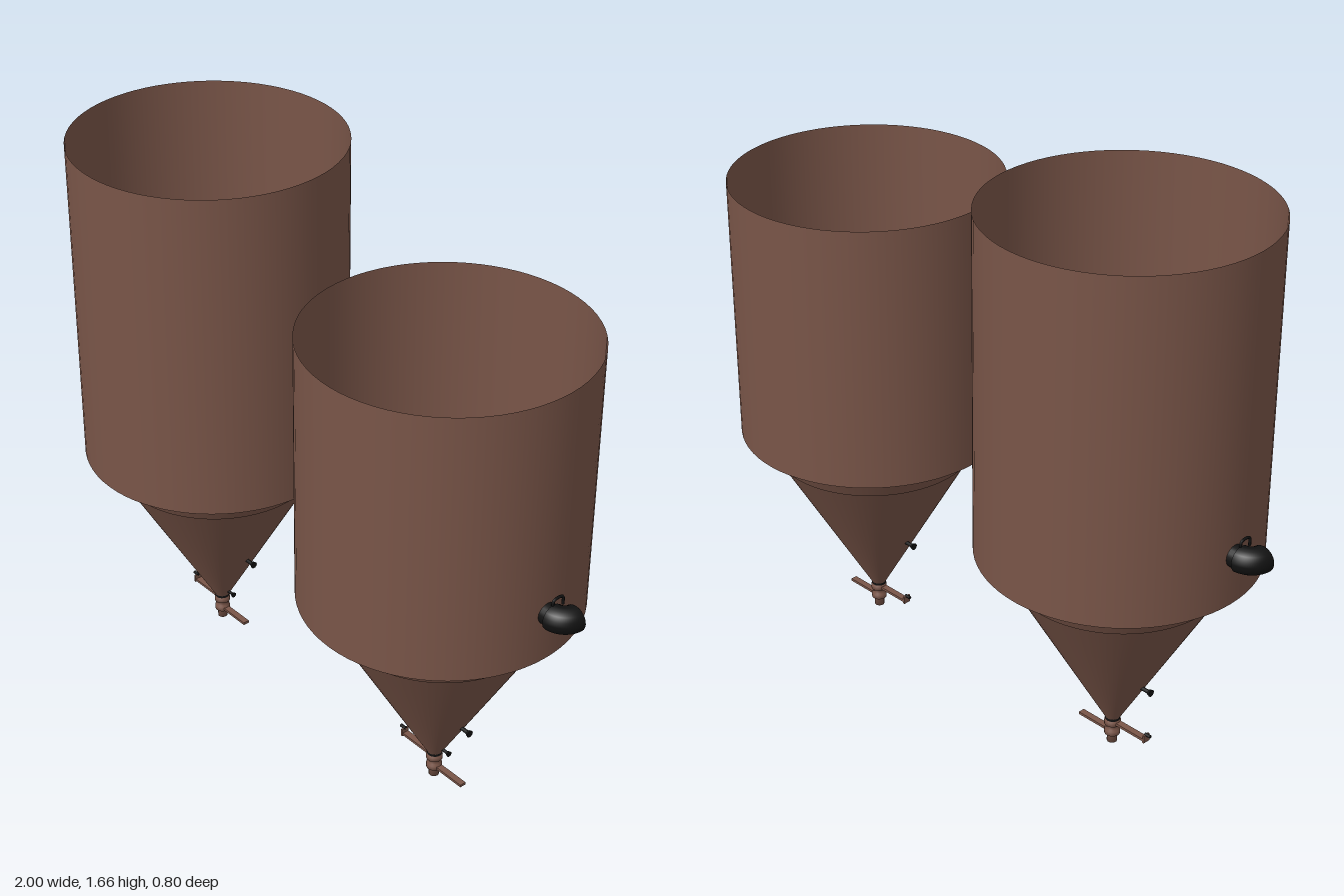
import * as THREE from 'three';

const brown = new THREE.MeshStandardMaterial({ color: 0x795548, side: THREE.DoubleSide });
const black = new THREE.MeshStandardMaterial({ color: 0x111111, side: THREE.DoubleSide });

function add(parent, name, geometry, material, x = 0, y = 0, z = 0) {
  const mesh = new THREE.Mesh(geometry, material);
  mesh.name = name;
  mesh.position.set(x, y, z);
  parent.add(mesh);
  return mesh;
}

// Cylinder lying along x
const rodX = (r1, r2, length, sides = 20) =>
  new THREE.CylinderGeometry(r1, r2, length, sides).rotateZ(-Math.PI / 2);

const lathe = (points, sides) =>
  new THREE.LatheGeometry(points.map(([r, y]) => new THREE.Vector2(r, y)), sides);

// Elbow vent leaving the wall along +x and turning towards -z
function makeVent() {
  const vent = new THREE.Group();
  vent.name = 'elbowVent';
  add(vent, 'ventNeck', rodX(0.032, 0.032, 0.04), black, 0.405, 0, 0);
  const elbow = new THREE.TorusGeometry(0.041, 0.038, 16, 20, Math.PI / 2).rotateX(Math.PI / 2);
  add(vent, 'ventElbow', elbow, black, 0.42, 0, -0.04);
  add(vent, 'ventMouth', new THREE.CircleGeometry(0.038, 24), black, 0.461, 0, -0.04);
  // Small latch hoop on top
  const hoop = new THREE.CatmullRomCurve3([
    [0.42, 0.025, -0.035], [0.42, 0.05, -0.032], [0.42, 0.05, 0], [0.42, 0.025, 0.004],
  ].map(p => new THREE.Vector3(...p)));
  add(vent, 'ventLatch', new THREE.TubeGeometry(hoop, 16, 0.004, 8), black);
  vent.position.y = 0.81;
  return vent;
}

// Short sampling port with a flared cap, side = +1 or -1 along x
function makePort(name, side, radius, y) {
  const port = new THREE.Group();
  port.name = name;
  add(port, 'portStem', rodX(0.006, 0.006, 0.045, 12), black, radius + 0.007, 0, 0);
  add(port, 'portCap', rodX(0.011, 0.008, 0.009, 12), black, radius + 0.03, 0, 0);
  port.position.y = y;
  port.rotation.set(0, side < 0 ? Math.PI : 0, 0);
  return port;
}

// Outlet pipe with two flat slide handles
function makeValve() {
  const valve = new THREE.Group();
  valve.name = 'outletValve';
  const profile = [[0, 0], [0.015, 0], [0.015, 0.025], [0.023, 0.028], [0.023, 0.042], [0.016, 0.045],
    [0.016, 0.058], [0.024, 0.061], [0.024, 0.075], [0.017, 0.078], [0.017, 0.09]];
  add(valve, 'outletPipe', lathe(profile, 24), brown);
  add(valve, 'outletCollar', new THREE.CylinderGeometry(0.022, 0.022, 0.008, 24), black, 0, 0.083, 0);
  add(valve, 'upperHandle', new THREE.BoxGeometry(0.13, 0.008, 0.02), brown, -0.065, 0.07, 0);
  add(valve, 'upperHandleTip', new THREE.BoxGeometry(0.006, 0.024, 0.024), brown, -0.128, 0.075, 0);
  add(valve, 'upperHandleKnob', rodX(0.005, 0.005, 0.02, 10), black, -0.135, 0.087, 0);
  add(valve, 'lowerHandle', new THREE.BoxGeometry(0.12, 0.008, 0.02), brown, 0.062, 0.036, 0);
  return valve;
}

function makeSilo(name, x, top) {
  const silo = new THREE.Group();
  silo.name = name;
  const outward = Math.sign(x);
  const height = top - 0.66;

  // Open shell whose lower edge skirts the hopper
  add(silo, 'tankShell', new THREE.CylinderGeometry(0.4, 0.4, height, 72, 1, true), brown, 0, 0.66 + height / 2, 0);
  add(silo, 'tankFloor', new THREE.CircleGeometry(0.398, 72).rotateX(-Math.PI / 2), brown, 0, 0.768, 0);
  // Hopper in two courses with a slight overlap seam
  add(silo, 'hopperUpper', lathe([[0.302, 0.575], [0.399, 0.765]], 72), brown);
  add(silo, 'hopperLower', lathe([[0.018, 0.08], [0.3, 0.577]], 72), brown);

  const vent = makeVent();
  vent.rotation.y = outward < 0 ? Math.PI : 0;
  silo.add(vent);
  silo.add(makePort('outerPort', outward, 0.106, 0.236));
  silo.add(makePort('innerPort', -outward, 0.134, 0.285));
  const lowPort = makePort('lowPort', 1, 0.032, 0.11);
  lowPort.scale.setScalar(0.8);
  lowPort.position.x = 0.008;
  silo.add(lowPort);
  silo.add(makeValve());
  silo.position.x = x;
  return silo;
}

export function createModel() {
  const model = new THREE.Group();
  model.name = 'twinSilos';
  model.add(makeSilo('tallSilo', -0.5, 1.66), makeSilo('shortSilo', 0.5, 1.46));
  return model;
}
